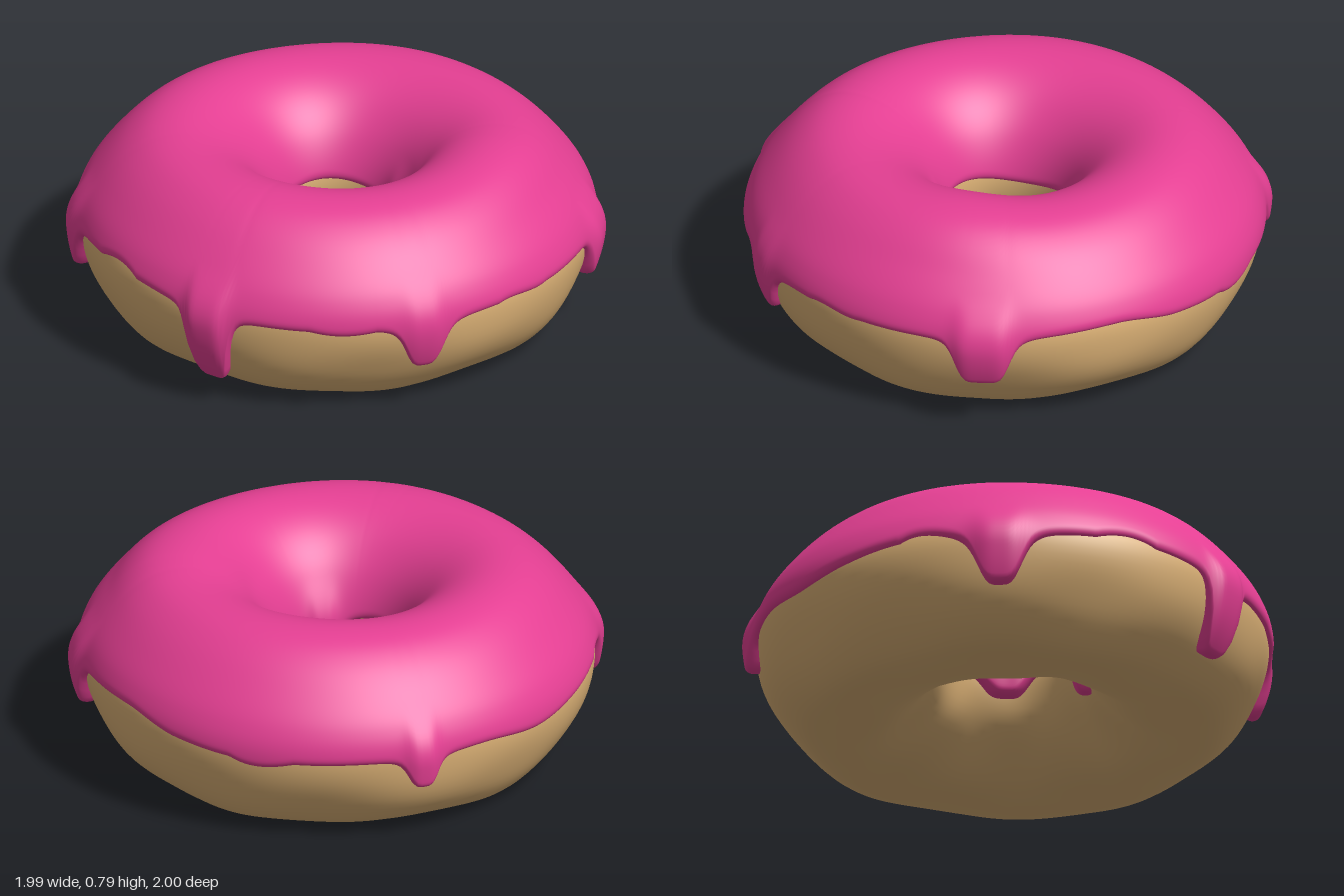
import * as THREE from 'three';

const AROUND = 420;
const RAD = Math.PI / 180;

// Ring cross-section (radius, height): bottom, up through the hole, over the top, down the outside
const section = new THREE.CatmullRomCurve3([
  [0.62, 0.008], [0.5, 0.03], [0.38, 0.11], [0.29, 0.22], [0.255, 0.36], [0.265, 0.45], [0.315, 0.57],
  [0.4, 0.67], [0.5, 0.73], [0.6, 0.752], [0.7, 0.737], [0.79, 0.685], [0.885, 0.59], [0.955, 0.49],
  [0.982, 0.4], [0.962, 0.26], [0.89, 0.12], [0.79, 0.03], [0.7, 0.01],
].map(([r, y]) => new THREE.Vector3(r, y, 0)), true);
section.arcLengthDivisions = 600;
const LENGTH = section.getLength();

// Position along the section of the highest point
let TOP = 0;
for (let i = 0, best = 0; i <= 400; i++) {
  const y = section.getPointAt(i / 400).y;
  if (y > best) { best = y; TOP = i / 400; }
}

// Position along the section at a given height, on the hole side or the outer side
function positionAt(height, hole) {
  let low = hole ? 0 : 1, high = TOP;
  for (let k = 0; k < 22; k++) {
    const mid = (low + high) / 2;
    if (section.getPointAt(mid).y < height) low = mid; else high = mid;
  }
  return (low + high) / 2;
}

// Point on the ring, pushed outward by an offset; the lower half is slightly lumpy
function skin(t, az, offset) {
  const p = section.getPointAt(t), d = section.getTangentAt(t), a = az * RAD;
  const low = THREE.MathUtils.smoothstep(0.36 - p.y, 0, 0.2);
  const lump = low * (0.006 * Math.sin(5 * a + 14 * p.x) + 0.004 * Math.sin(9 * a - 11 * p.x + 1));
  const n = offset + lump;
  const r = p.x - d.y * n;
  return [r * Math.sin(a), Math.max(0, p.y + d.x * n), r * Math.cos(a)];
}

// Surface swept round the ring; rows run along the section
function sweep(rows, closed, pointAt) {
  const pos = [], idx = [], cols = closed ? rows : rows + 1;
  for (let i = 0; i < AROUND; i++) {
    const az = (i / AROUND) * 360;
    for (let j = 0; j < cols; j++) pos.push(...pointAt(az, j / rows));
    for (let j = 0; j < rows; j++) {
      const next = ((i + 1) % AROUND) * cols, here = i * cols, k = (j + 1) % cols;
      idx.push(here + j, here + k, next + j, here + k, next + k, next + j);
    }
  }
  const geo = new THREE.BufferGeometry();
  geo.setAttribute('position', new THREE.Float32BufferAttribute(pos, 3));
  geo.setIndex(idx);
  geo.computeVertexNormals();
  return geo;
}

// Height of the icing's outer edge every 15 degrees, from the front towards +x
const edge = new THREE.CatmullRomCurve3([
  0.39, 0.39, 0.392, 0.395, 0.41, 0.42, 0.38, 0.36, 0.36, 0.365, 0.37, 0.38,
  0.36, 0.385, 0.41, 0.41, 0.41, 0.42, 0.42, 0.4, 0.385, 0.38, 0.38, 0.385,
].map((y) => new THREE.Vector3(0, y, 0)), true);

// Drips: direction, tip height, half width in degrees, steepness, extra thickness
const outerDrips = [
  [44, 0.215, 6.2, 6, 0.035], [149, 0.26, 3.6, 4, 0.035], [233, 0.21, 5.6, 4, 0.035],
  [291, 0.115, 5, 6, 0.035], [341, 0.2, 4.6, 4, 0.02],
];
const holeDrips = [[325, 0.195, 13, 4, 0.025], [62, 0.29, 22, 4, 0.035]];

function dripped(az, base, drips) {
  let height = base, thick = 0;
  for (const [dir, tip, width, power, extra] of drips) {
    const away = Math.abs(((az - dir + 540) % 360) - 180) / width;
    const g = 1 / (1 + away ** power);
    height -= (base - tip) * g;
    thick += extra * g;
  }
  return { height, thick };
}

// Icing limits for one direction, kept until the direction changes
let limits = { az: -1 };
function limitsAt(az) {
  if (limits.az === az) return limits;
  const out = dripped(az, edge.getPoint(az / 360).y, outerDrips);
  const hole = dripped(az, 0.39 + 0.015 * Math.sin(3 * az * RAD), holeDrips);
  limits = { az, out, hole, from: positionAt(hole.height, true), to: positionAt(out.height, false) };
  return limits;
}

function icingPoint(az, v) {
  const { out, hole, from, to } = limitsAt(az);
  // Rows gather near both edges to round the lip
  const s = 0.5 - 0.5 * Math.cos(Math.PI * v);
  const t = THREE.MathUtils.lerp(from, to, s);
  const outer = t > TOP;
  const gap = LENGTH * Math.min(t - from, to - t);
  const lip = Math.sqrt(1 - (1 - Math.min(1, gap / 0.035)) ** 2);
  const y = section.getPointAt(t).y;
  const fade = 1 - THREE.MathUtils.smoothstep(y, 0.36, 0.56);
  const extra = (outer ? out.thick : hole.thick) * fade;
  // Gentle swelling across the top
  const turn = ((az - 35 + 540) % 360) - 180;
  const swell = THREE.MathUtils.smoothstep(y, 0.6, 0.75)
    * (0.014 * Math.exp(-((turn / 22) ** 2)) + 0.003 * Math.sin(4 * az * RAD));
  return skin(t, az, -0.004 + lip * (0.022 + extra) + swell);
}

export function createModel() {
  const group = new THREE.Group();
  group.name = 'donut';

  const dough = new THREE.Mesh(
    sweep(72, true, (az, v) => skin(v, az, 0)),
    new THREE.MeshStandardMaterial({ color: 0xdeb377 }));
  dough.name = 'dough';

  const icing = new THREE.Mesh(
    sweep(80, false, icingPoint),
    new THREE.MeshStandardMaterial({ color: 0xe53f93 }));
  icing.name = 'icing';

  group.add(dough, icing);
  return group;
}
